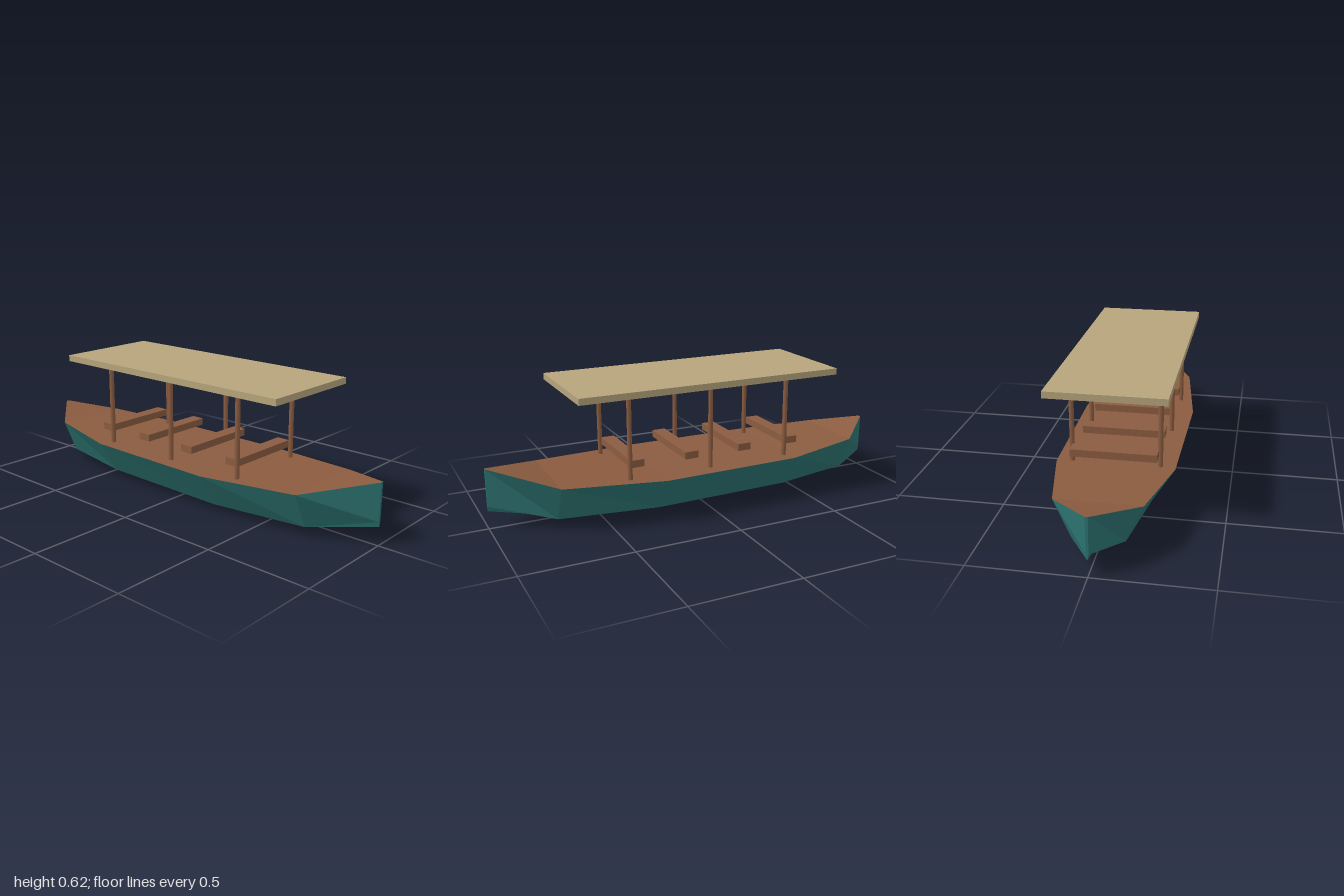
import * as THREE from 'three';

const material = (name, color) => {
  const m = new THREE.MeshStandardMaterial({ color });
  m.name = name;
  return m;
};

// Faceted geometry from a list of Vector3 corners, three per triangle
const faceted = (corners) => {
  const g = new THREE.BufferGeometry().setFromPoints(corners);
  g.computeVertexNormals();
  return g;
};

export function createModel() {
  const boat = new THREE.Group();
  boat.name = 'canopyBoat';
  const hullPaint = material('tealHull', 0x2c7370);
  const wood = material('brownWood', 0x8b5c40);
  const canvas = material('tanCanopy', 0xb6a47b);

  const add = (name, geometry, mat, x = 0, y = 0, z = 0) => {
    const mesh = new THREE.Mesh(geometry, mat);
    mesh.name = name;
    mesh.position.set(x, y, z);
    boat.add(mesh);
  };

  // Stations, bow to stern: z, gunwale x/y, chine x/y, keel y
  const stations = [
    [1.0, 0.007, 0.285, 0.005, 0.11, 0.087],
    [0.72, 0.21, 0.215, 0.13, 0.046, 0.016],
    [0.25, 0.277, 0.2, 0.172, 0.034, 0.002],
    [-0.42, 0.267, 0.203, 0.165, 0.04, 0.007],
    [-0.8, 0.187, 0.222, 0.115, 0.056, 0.03],
    [-1.0, 0.007, 0.27, 0.005, 0.105, 0.08],
  ];
  const rings = stations.map(([z, gx, gy, cx, cy, ky]) =>
    [[gx, gy], [cx, cy], [0, ky], [-cx, cy], [-gx, gy]].map(([x, y]) => new THREE.Vector3(x, y, z)));

  const hull = [];
  const deck = [];
  for (let s = 0; s < rings.length - 1; s++) {
    const p = rings[s], q = rings[s + 1];
    for (let i = 0; i < 4; i++) hull.push(p[i], p[i + 1], q[i + 1], p[i], q[i + 1], q[i]);
    deck.push(p[0], q[0], q[4], p[0], q[4], p[4]);
  }
  // Narrow stem and stern caps
  const bow = rings[0], stern = rings[rings.length - 1];
  for (let i = 1; i < 4; i++) {
    hull.push(bow[0], bow[i + 1], bow[i]);
    hull.push(stern[0], stern[i], stern[i + 1]);
  }
  add('hull', faceted(hull), hullPaint);
  add('deck', faceted(deck), wood);

  // Cross benches
  const bench = new THREE.BoxGeometry(0.385, 0.034, 0.065);
  [0.362, 0.092, -0.184, -0.442].forEach((z) => add('bench', bench, wood, 0, 0.272, z));

  // Canopy posts in mirrored pairs
  const post = new THREE.CylinderGeometry(0.0115, 0.0115, 0.39, 8);
  for (const z of [0.4, 0, -0.4]) {
    for (const side of [-1, 1]) add('canopyPost', post, wood, side * 0.198, 0.397, z);
  }

  // Flat canopy
  add('canopy', new THREE.BoxGeometry(0.518, 0.03, 1.29), canvas, 0, 0.605, 0);
  return boat;
}
